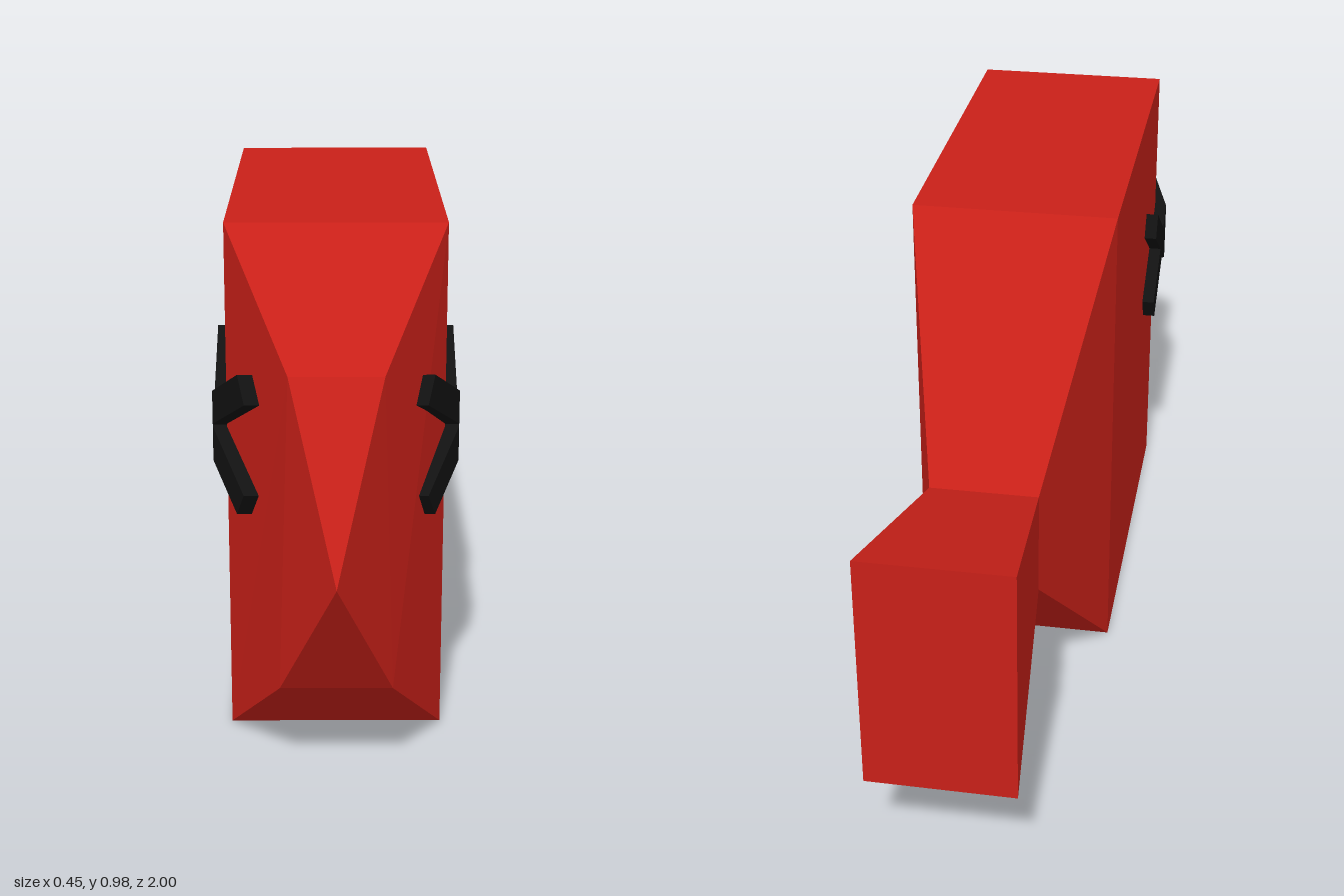
import * as THREE from 'three';

const red = new THREE.MeshStandardMaterial({ color: 0xc82018, flatShading: true });
const black = new THREE.MeshStandardMaterial({ color: 0x111111, flatShading: true });

const FACE_Z = 0.57;              // where the flanks start to taper to the nose
const HALF = 0.2;                 // half width of the body
const TAPER = HALF / (1 - FACE_Z);

// Four corners of a section, counter-clockwise seen from the front
const corners = ([z, bottom, top, halfBottom, halfTop]) => [
  [halfTop, top, z], [-halfTop, top, z], [-halfBottom, bottom, z], [halfBottom, bottom, z],
];

// Skin a list of sections running front to back; the first may be a point
function loft(sections, capFront, capBack) {
  const rings = sections.map(corners);
  const pos = [];
  const tri = (...pts) => pts.forEach((p) => pos.push(...p));
  for (let s = 0; s < rings.length - 1; s++) {
    const a = rings[s], b = rings[s + 1];
    const point = sections[s][1] === sections[s][2];
    for (let i = 0; i < 4; i++) {
      const j = (i + 1) % 4;
      tri(a[i], b[i], b[j]);
      if (!point) tri(a[i], b[j], a[j]);
    }
  }
  const f = rings[0], e = rings[rings.length - 1];
  if (capFront) { tri(f[0], f[1], f[2]); tri(f[0], f[2], f[3]); }
  if (capBack) { tri(e[0], e[3], e[2]); tri(e[0], e[2], e[1]); }
  const geo = new THREE.BufferGeometry();
  geo.setAttribute('position', new THREE.Float32BufferAttribute(pos, 3));
  geo.computeVertexNormals();
  return geo;
}

// One stroke of a crossed eye, folded around the corner of the body
function eyeBar(side, angle, cy, cz) {
  const geo = new THREE.BoxGeometry(0.052, 0.055, 0.406, 1, 1, 2);
  const p = geo.attributes.position;
  const sin = Math.sin(angle), cos = Math.cos(angle);
  for (let i = 0; i < p.count; i++) {
    const y = p.getY(i);
    let z = p.getZ(i);
    // slide the middle ring onto the fold line
    if (Math.abs(z) < 0.01) z = (FACE_Z - cz - y * sin) / cos;
    const wz = cz + y * sin + z * cos;
    const surface = HALF - TAPER * Math.max(0, wz - FACE_Z);
    p.setXYZ(i, p.getX(i) + side * surface, cy + y * cos - z * sin, wz);
  }
  geo.computeVertexNormals();
  return new THREE.Mesh(geo, black);
}

export function createModel() {
  const model = new THREE.Group();
  model.name = 'fish';

  // Body: nose point, snout, full trunk, tail root
  // section: z, bottom, top, half width at bottom, half width at top
  const body = new THREE.Mesh(loft([
    [1, 0.46, 0.46, 0, 0],
    [0.82, 0.195, 0.77, 0.1, 0.082],
    [FACE_Z, 0, 0.98, HALF, HALF],
    [-0.22, 0, 0.98, HALF, HALF],
    [-0.565, 0.35, 0.56, 0.104, 0.104],
  ], false, false), red);
  body.name = 'body';

  // Tail flaring out from the root
  const tail = new THREE.Mesh(loft([
    [-0.565, 0.35, 0.56, 0.104, 0.104],
    [-1, 0.22, 0.69, 0.138, 0.138],
  ], false, true), red);
  tail.name = 'tail';
  model.add(body, tail);

  // Crossed eyes on both flanks
  for (const side of [1, -1]) {
    const eye = new THREE.Group();
    eye.name = side > 0 ? 'leftEye' : 'rightEye';
    const rising = eyeBar(side, -0.52, 0.607, 0.519);
    rising.name = 'eyeBarRising';
    const falling = eyeBar(side, 0.578, 0.601, 0.517);
    falling.name = 'eyeBarFalling';
    eye.add(rising, falling);
    model.add(eye);
  }
  return model;
}
